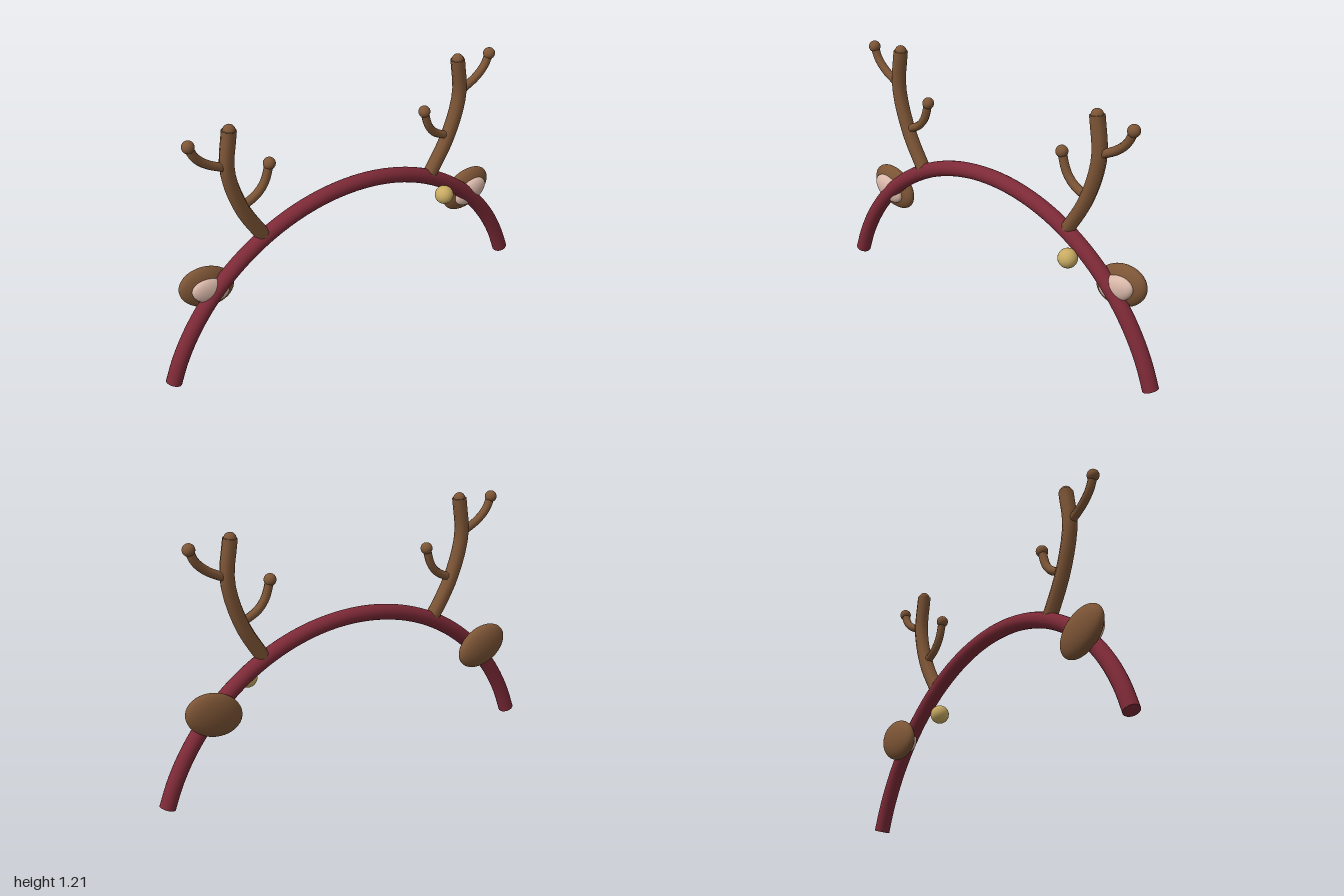
import * as THREE from 'three';

const material = (name, color) => Object.assign(new THREE.MeshStandardMaterial({ color }), { name });

export function createModel() {
  const red = material('burgundy band', 0x7d2a37);
  const brown = material('antler brown', 0x7d5536);
  const pink = material('inner ear pink', 0xd9b7a8);
  const gold = material('bell gold', 0xc8ab62);
  const model = new THREE.Group();
  model.name = 'antlerHeadband';
  const zMid = -0.003;

  // Round tube through points, closed by a disc at each end
  function cappedTube(name, points, radius, segments, sides, mat) {
    const group = new THREE.Group();
    group.name = name;
    const curve = new THREE.CatmullRomCurve3(points.map(([x, y]) => new THREE.Vector3(x, y, zMid)));
    group.add(new THREE.Mesh(new THREE.TubeGeometry(curve, segments, radius, sides), mat));
    for (const t of [0, 1]) {
      const cap = new THREE.Mesh(new THREE.CircleGeometry(radius, sides), mat);
      const out = curve.getTangentAt(t).multiplyScalar(t ? 1 : -1);
      cap.quaternion.setFromUnitVectors(new THREE.Vector3(0, 0, 1), out);
      cap.position.copy(curve.getPointAt(t));
      group.add(cap);
    }
    return group;
  }

  function ball(name, x, y, z, scale, mat) {
    const mesh = new THREE.Mesh(new THREE.SphereGeometry(1, 32, 20), mat);
    mesh.name = name;
    mesh.position.set(x, y, z);
    mesh.scale.set(...scale);
    return mesh;
  }

  // Headband: circular arc
  const R = 1.0134, cy = -0.298, start = 0.31;
  const arc = Array.from({ length: 25 }, (_, i) => {
    const a = start + (Math.PI - 2 * start) * i / 24;
    return [R * Math.cos(a), cy + R * Math.sin(a)];
  });
  model.add(cappedTube('headband', arc, 0.037, 72, 20, red));

  for (const [side, s] of [['left', 1], ['right', -1]]) {
    const flip = points => points.map(([x, y]) => [s * x, y]);

    // Antler: main beam and two tines with rounded tips
    const antler = new THREE.Group();
    antler.name = side + 'Antler';
    antler.add(
      cappedTube('beam', flip([[0.45, 0.59], [0.568, 0.79], [0.628, 1.0], [0.608, 1.185]]), 0.034, 12, 8, brown),
      cappedTube('outerTine', flip([[0.625, 1.01], [0.725, 1.062], [0.775, 1.11], [0.8, 1.165]]), 0.02, 10, 8, brown),
      cappedTube('innerTine', flip([[0.565, 0.8], [0.49, 0.838], [0.45, 0.885], [0.422, 0.968]]), 0.02, 10, 8, brown));
    for (const [x, y] of [[0.608, 1.183], [0.8, 1.165], [0.422, 0.968]])
      antler.add(ball('tip', s * x, y, zMid, [0.028, 0.028, 0.028], brown));
    model.add(antler);

    // Ear: flattened ellipsoid with a pink inner pad
    const ear = new THREE.Group();
    ear.name = side + 'Ear';
    ear.position.set(s * 0.742, 0.423, 0);
    ear.rotation.z = s * 0.36;
    ear.add(
      ball('outerEar', 0, 0, -0.05, [0.14, 0.1, 0.047], brown),
      ball('innerEar', 0, 0, -0.01, [0.095, 0.06, 0.034], pink));
    model.add(ear);
  }

  // Small bell hanging by the left antler
  model.add(ball('bell', 0.52, 0.51, 0.052, [0.045, 0.045, 0.045], gold));
  return model;
}
